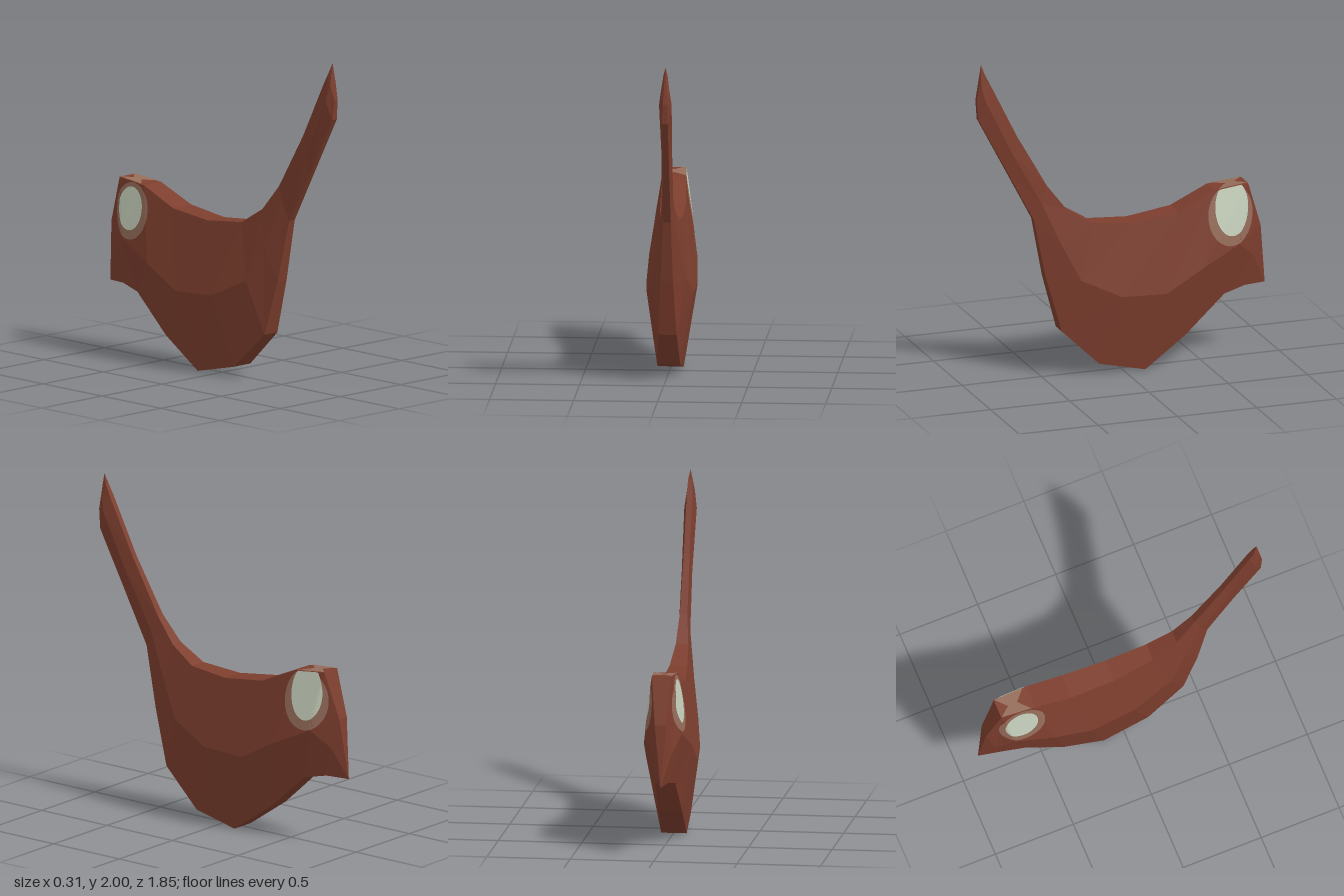
import * as THREE from 'three';

// Cross-sections from tail tip to snout:
// top z,y | middle z,y | bottom z,y | edge x min,max | middle x min,max
const SECTIONS = [
  [0.895, 2.0, 0.895, 2.0, 0.895, 2.0, 0.04, 0.04, 0.04, 0.04],
  [0.875, 1.94, 0.9, 1.87, 0.925, 1.78, 0.025, 0.052, 0.015, 0.062],
  [0.84, 1.87, 0.875, 1.77, 0.915, 1.66, 0.02, 0.055, 0, 0.075],
  [0.67, 1.53, 0.7, 1.42, 0.73, 1.31, 0.015, 0.05, 0.003, 0.066],
  [0.48, 1.2, 0.52, 1.1, 0.565, 1.0, 0.002, 0.048, -0.01, 0.06],
  [0.36, 1.045, 0.4, 0.83, 0.49, 0.63, -0.02, 0.055, -0.05, 0.09],
  [0.2, 0.945, 0.29, 0.61, 0.395, 0.29, -0.037, 0.07, -0.09, 0.12],
  [-0.06, 0.92, 0.04, 0.49, 0.16, 0.065, -0.063, 0.075, -0.135, 0.148],
  [-0.34, 0.955, -0.24, 0.48, -0.13, 0, -0.078, 0.075, -0.156, 0.15],
  [-0.575, 1.06, -0.48, 0.61, -0.39, 0.18, -0.088, 0.055, -0.156, 0.13],
  [-0.79, 1.08, -0.72, 0.72, -0.64, 0.405, -0.08, 0.04, -0.13, 0.09],
  [-0.88, 0.8, -0.83, 0.62, -0.78, 0.435, -0.06, 0.01, -0.085, 0.03],
  [-0.92, 0.43, -0.92, 0.43, -0.92, 0.43, -0.03, -0.03, -0.03, -0.03],
];

function geometryFrom(points, indices) {
  const indexed = new THREE.BufferGeometry().setFromPoints(points);
  indexed.setIndex(indices);
  const geometry = indexed.toNonIndexed();
  geometry.computeVertexNormals();
  return geometry;
}

// Six-sided body lofted through the sections
function bodyGeometry() {
  const points = [], indices = [];
  const last = SECTIONS.length - 1;
  SECTIONS.forEach(([tz, ty, mz, my, bz, by, e0, e1, m0, m1], i) => {
    points.push(
      new THREE.Vector3(e0, ty, tz), new THREE.Vector3(e1, ty, tz),
      new THREE.Vector3(m1, my, mz), new THREE.Vector3(e1, by, bz),
      new THREE.Vector3(e0, by, bz), new THREE.Vector3(m0, my, mz));
    if (i === last) return;
    for (let j = 0; j < 6; j++) {
      const a = i * 6 + j, b = i * 6 + (j + 1) % 6;
      if (i > 0) indices.push(a, b, a + 6);
      if (i < last - 1) indices.push(b, b + 6, a + 6);
      else indices.push(...(i > 0 ? [] : [b, b + 6, a + 6]));
    }
  });
  return geometryFrom(points, indices);
}

// Thin elliptical patch laid over one flank of the body
function patchGeometry(body, side, z, y, rz, ry, lift) {
  const rings = 8, steps = 36, points = [], indices = [];
  const ray = new THREE.Raycaster();
  const direction = new THREE.Vector3(-side, 0, 0);
  const project = (pz, py) => {
    for (let h = py; h > 0.5; h -= 0.002) {
      ray.set(new THREE.Vector3(side, h, pz), direction);
      const hit = ray.intersectObject(body)[0];
      if (hit) return hit.point.setX(hit.point.x + side * lift);
    }
    return new THREE.Vector3(0, py, pz);
  };
  for (let r = 0; r <= rings; r++) {
    for (let s = 0; s < steps; s++) {
      const t = (s / steps) * Math.PI * 2, k = r / rings;
      points.push(project(z - side * Math.cos(t) * rz * k, y + Math.sin(t) * ry * k));
      if (r === rings) continue;
      const a = r * steps + s, b = r * steps + (s + 1) % steps;
      indices.push(a, a + steps, b + steps);
      if (r > 0) indices.push(a, b + steps, b);
    }
  }
  return geometryFrom(points, indices);
}

// Waisted patch joining the two eye rings across the top of the head
function browGeometry() {
  const outline = [[-0.08, -0.788], [-0.025, -0.725], [0.04, -0.788],
    [0.053, -0.6], [-0.02, -0.665], [-0.087, -0.6]];
  const points = outline.map(([x, z]) =>
    new THREE.Vector3(x, 1.064 + 0.02 * (-0.575 - z) / 0.215, z));
  return geometryFrom(points, [0, 5, 4, 0, 4, 1, 1, 4, 3, 1, 3, 2]);
}

export function createModel() {
  const make = (name, color, side) => {
    const material = new THREE.MeshStandardMaterial({ color, flatShading: true, side });
    material.name = name;
    return material;
  };
  const skin = make('russet skin', 0x7d3e2e, THREE.FrontSide);
  const ringColor = make('dusty brown', 0x956c5a, THREE.DoubleSide);
  const eyeColor = make('pale green', 0xc8d2bd, THREE.DoubleSide);

  const group = new THREE.Group();
  group.name = 'fish';
  const add = (name, geometry, material) => {
    const mesh = new THREE.Mesh(geometry, material);
    mesh.name = name;
    group.add(mesh);
    return mesh;
  };

  const body = add('body', bodyGeometry(), skin);
  body.updateMatrixWorld();

  // Eyes with their surrounding rings
  add('leftEyeRing', patchGeometry(body, 1, -0.672, 0.9, 0.148, 0.185, 0.002), ringColor);
  add('leftEye', patchGeometry(body, 1, -0.678, 0.945, 0.108, 0.17, 0.005), eyeColor);
  add('rightEyeRing', patchGeometry(body, -1, -0.665, 0.895, 0.143, 0.17, 0.002), ringColor);
  add('rightEye', patchGeometry(body, -1, -0.67, 0.91, 0.102, 0.13, 0.005), eyeColor);
  add('brow', browGeometry(), ringColor);
  return group;
}
